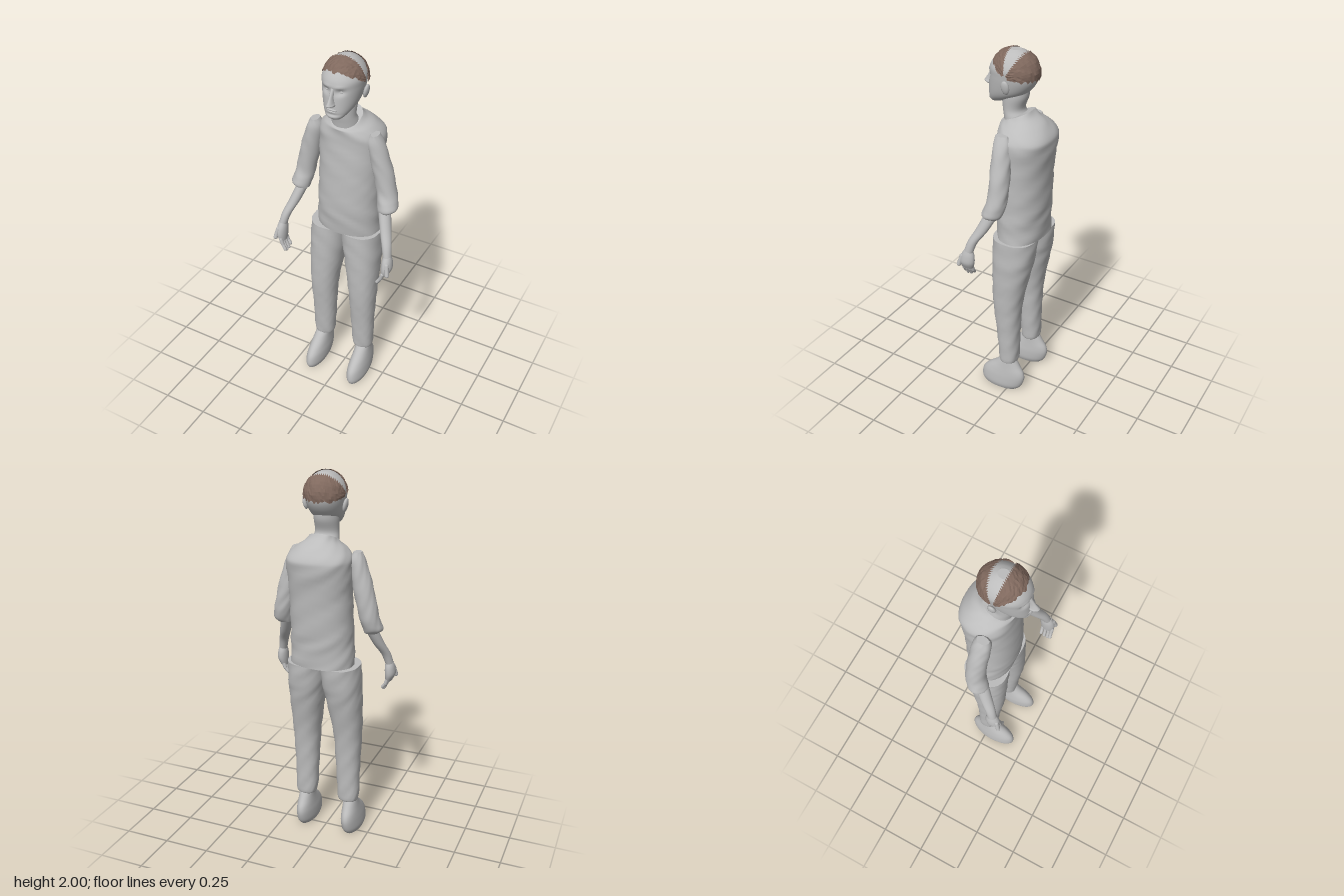
import * as THREE from 'three';

const body = new THREE.MeshStandardMaterial({ color: 0xbcbcbc });
body.name = 'pale grey';
const brown = new THREE.MeshStandardMaterial({ color: 0x80695e, side: THREE.DoubleSide, flatShading: true });
brown.name = 'hair brown';

let seed = 7;
const rand = () => (seed = (seed * 16807) % 2147483647) / 2147483647;

// Smooth loft through horizontal sections [y, x0, x1, zBack, zFront, tilt], listed upwards.
function loft(rings, { seg = 32, sub = 5, power = 2, warp } = {}) {
  const rows = [];
  const cat = (a, b, c, d, t) => 0.5 * (2 * b + (c - a) * t + (2 * a - 5 * b + 4 * c - d) * t * t + (3 * b - a - 3 * c + d) * t ** 3);
  const at = (i, k) => rings[Math.max(0, Math.min(rings.length - 1, i))][k] ?? 0;
  for (let i = 0; i < rings.length - 1; i++)
    for (let s = 0; s < sub; s++)
      rows.push([0, 1, 2, 3, 4, 5].map(k => cat(at(i - 1, k), at(i, k), at(i + 1, k), at(i + 2, k), s / sub)));
  rows.push([0, 1, 2, 3, 4, 5].map(k => at(rings.length - 1, k)));
  const pos = [], idx = [], p = new THREE.Vector3();
  const ring = ([y, x0, x1, zb, zf, tilt]) => {
    for (let j = 0; j < seg; j++) {
      const a = j / seg * Math.PI * 2, s = Math.sin(a), c = Math.cos(a);
      const u = Math.sign(s) * Math.abs(s) ** (2 / power), v = Math.sign(c) * Math.abs(c) ** (2 / power);
      p.set((x0 + x1) / 2 + u * (x1 - x0) / 2, y + tilt * v, (zb + zf) / 2 + v * (zf - zb) / 2);
      if (warp) warp(p, s, c);
      pos.push(p.x, p.y, p.z);
    }
  };
  rows.forEach(ring);
  for (let i = 0; i < rows.length - 1; i++)
    for (let j = 0; j < seg; j++) {
      const a = i * seg + j, b = i * seg + (j + 1) % seg;
      idx.push(a, b, b + seg, a, b + seg, a + seg);
    }
  // End caps with their own vertices so the rims stay crisp
  for (const [row, up] of [[rows[0], false], [rows[rows.length - 1], true]]) {
    const base = pos.length / 3;
    ring(row);
    pos.push((row[1] + row[2]) / 2, row[0], (row[3] + row[4]) / 2);
    for (let j = 0; j < seg; j++) {
      const a = base + j, b = base + (j + 1) % seg;
      up ? idx.push(a, b, base + seg) : idx.push(b, a, base + seg);
    }
  }
  const g = new THREE.BufferGeometry();
  g.setAttribute('position', new THREE.Float32BufferAttribute(pos, 3));
  g.setIndex(idx);
  g.computeVertexNormals();
  return g;
}

// Cloth folds
const folds = amount => (p, s, c) => {
  const w = amount * (Math.sin(p.y * 47 + s * 5) + Math.sin(p.y * 83 - c * 9 + s * 4) * 0.6);
  p.x += s * w;
  p.z += c * w;
};
// Soft dent or bulge along z on the face
const dent = (p, x, y, w, h, d) => { p.z += d * Math.exp(-(((p.x - x) / w) ** 2) - ((p.y - y) / h) ** 2); };

export function createModel() {
  const model = new THREE.Group();
  const add = (name, geo, mat = body) => {
    const m = new THREE.Mesh(geo, mat);
    m.name = name;
    model.add(m);
    return m;
  };
  const capsule = (name, a, b, r) => {
    const A = new THREE.Vector3(...a), B = new THREE.Vector3(...b), d = B.clone().sub(A);
    const m = add(name, new THREE.CapsuleGeometry(r, d.length(), 5, 10));
    m.position.copy(A).add(B).multiplyScalar(0.5);
    m.quaternion.setFromUnitVectors(new THREE.Vector3(0, 1, 0), d.normalize());
  };
  const ball = (name, x, y, z, sx, sy, sz) => {
    const m = add(name, new THREE.SphereGeometry(1, 16, 12));
    m.position.set(x, y, z);
    m.scale.set(sx, sy, sz);
    return m;
  };

  // Shirt, with the collar higher at the back
  add('shirt', loft([
    [1.01, -0.164, 0.18, -0.15, 0.09], [1.1, -0.16, 0.178, -0.153, 0.1], [1.2, -0.155, 0.176, -0.16, 0.104],
    [1.4, -0.15, 0.178, -0.17, 0.096], [1.54, -0.155, 0.185, -0.188, 0.086], [1.59, -0.148, 0.178, -0.182, 0.085],
    [1.63, -0.115, 0.14, -0.14, 0.085, -0.01], [1.652, -0.08, 0.1, -0.095, 0.085, -0.022],
    [1.668, -0.064, 0.082, -0.074, 0.08, -0.034],
  ], { seg: 48, power: 2.2, warp: folds(0.0018) }));

  // Neck
  add('neck', loft([
    [1.6, -0.07, 0.085, -0.07, 0.07], [1.66, -0.06, 0.077, -0.045, 0.078], [1.7, -0.054, 0.07, -0.024, 0.085],
    [1.76, -0.055, 0.072, -0.045, 0.09], [1.8, -0.05, 0.068, -0.05, 0.08],
  ]));

  // Head with eye sockets, brow and chin
  const cx = 0.012;
  add('head', loft([
    [1.722, -0.02, 0.044, 0.1, 0.148], [1.735, -0.036, 0.06, 0.06, 0.16], [1.76, -0.056, 0.08, 0, 0.159],
    [1.79, -0.07, 0.094, -0.05, 0.157], [1.83, -0.08, 0.104, -0.083, 0.154], [1.87, -0.086, 0.11, -0.098, 0.15],
    [1.91, -0.088, 0.111, -0.096, 0.145], [1.95, -0.069, 0.091, -0.075, 0.119], [1.98, -0.038, 0.062, -0.042, 0.083],
    [1.994, -0.012, 0.036, -0.01, 0.05],
  ], {
    seg: 56, sub: 6, power: 2.15, warp: (p, s, c) => {
      if (c < 0.2) return;
      for (const k of [-1, 1]) {
        dent(p, cx + k * 0.036, 1.862, 0.02, 0.014, -0.013);
        dent(p, cx + k * 0.034, 1.888, 0.025, 0.008, 0.005);
      }
      dent(p, cx, 1.75, 0.03, 0.006, -0.006);
    },
  }));
  add('nose', loft([
    [1.793, -0.003, 0.027, 0.13, 0.166], [1.804, -0.008, 0.032, 0.13, 0.194], [1.815, -0.003, 0.027, 0.13, 0.191],
    [1.84, 0.002, 0.022, 0.13, 0.174], [1.88, 0.001, 0.023, 0.12, 0.152],
  ], { seg: 20 }));
  ball('upperLip', cx, 1.775, 0.155, 0.026, 0.005, 0.008);
  ball('lowerLip', cx, 1.765, 0.155, 0.022, 0.005, 0.008);
  for (const k of [-1, 1]) {
    ball('eye', cx + k * 0.036, 1.862, 0.123, 0.014, 0.008, 0.012);
    ball('ear', cx + k * 0.107, 1.835, 0.015, 0.012, 0.036, 0.022).rotation.z = -k * 0.2;
  }

  // Hair: a front and a back patch that leave a band of bare scalp between them
  const hairPatch = (name, from, to) => {
    const g = new THREE.SphereGeometry(1, 30, 9, 0, Math.PI, 0, 1);
    const p = g.attributes.position;
    for (let i = 0; i <= 9; i++)
      for (let j = 0; j <= 30; j++) {
        const f = Math.PI * (0.04 + 0.92 * j / 30), edge = i === 9 ? (rand() - 0.5) * 0.18 : 0;
        const t = from + (to - from) * i / 9 + edge, r = 1 + rand() * 0.035;
        p.setXYZ(i * 31 + j, cx + 0.108 * r * Math.cos(f),
          Math.min(2, 1.88 + 0.119 * r * Math.sin(f) * Math.cos(t)), 0.02 + 0.123 * r * Math.sin(f) * Math.sin(t));
      }
    g.computeVertexNormals();
    add(name, g, brown);
  };
  hairPatch('frontHair', 0.1, 0.98);
  hairPatch('backHair', -0.42, -1.75);

  for (const s of [1, -1]) {
    const side = s > 0 ? 'left' : 'right';
    // Mirror sections; the right leg stands a little further out
    const flip = (rings, lean = 0) => s > 0 ? rings
      : rings.map(([y, a, b, ...z]) => [y, -b - lean * (1 - y), -a - lean * (1 - y), ...z]);

    add(side + 'TrouserLeg', loft(flip([
      [0.195, 0.068, 0.165, -0.04, 0.048], [0.225, 0.058, 0.175, -0.05, 0.056], [0.4, 0.05, 0.18, -0.055, 0.07],
      [0.6, 0.04, 0.19, -0.07, 0.09], [0.8, 0.012, 0.197, -0.11, 0.095], [0.9, -0.004, 0.198, -0.13, 0.095],
      [1.012, -0.02, 0.195, -0.14, 0.094],
    ], 0.019), { power: 2.3, warp: folds(0.0014) }));

    add(side + 'Shoe', loft(flip([
      [0, 0.08, 0.168, -0.05, 0.168], [0.03, 0.07, 0.177, -0.077, 0.179], [0.08, 0.07, 0.175, -0.093, 0.17],
      [0.12, 0.075, 0.17, -0.088, 0.138], [0.16, 0.08, 0.164, -0.063, 0.09], [0.205, 0.084, 0.158, -0.036, 0.044],
    ], 0.026)));

    add(side + 'Sleeve', loft(flip([
      [1.195, 0.202, 0.28, -0.02, 0.062], [1.215, 0.198, 0.302, -0.036, 0.07], [1.25, 0.19, 0.296, -0.048, 0.06],
      [1.3, 0.18, 0.284, -0.055, 0.046], [1.4, 0.156, 0.263, -0.056, 0.045], [1.5, 0.135, 0.234, -0.05, 0.048],
      [1.57, 0.127, 0.208, -0.043, 0.048], [1.612, 0.145, 0.186, -0.026, 0.038],
    ]), { warp: folds(0.0012) }));

    add(side + 'Forearm', loft(flip([
      [0.985, 0.289, 0.332, 0.102, 0.152], [1.05, 0.27, 0.32, 0.08, 0.134], [1.12, 0.238, 0.296, 0.034, 0.1],
      [1.21, 0.205, 0.268, -0.012, 0.062],
    ]), { seg: 20 }));

    // Hand with loosely curled fingers
    add(side + 'Palm', loft(flip([
      [0.893, 0.288, 0.322, 0.105, 0.168], [0.93, 0.285, 0.34, 0.092, 0.174], [0.97, 0.285, 0.338, 0.092, 0.166],
      [1.0, 0.289, 0.33, 0.102, 0.15],
    ]), { seg: 20 }));
    [[0.112, 0.855], [0.131, 0.842], [0.15, 0.841], [0.166, 0.85]].forEach(([z, tip]) => {
      capsule(side + 'Finger', [s * 0.304, 0.905, z], [s * 0.294, 0.876, z], 0.01);
      capsule(side + 'Fingertip', [s * 0.294, 0.876, z], [s * 0.277, tip, z + 0.003], 0.009);
    });
    capsule(side + 'Thumb', [s * 0.322, 0.965, 0.158], [s * 0.332, 0.915, 0.172], 0.012);
  }
  return model;
}
